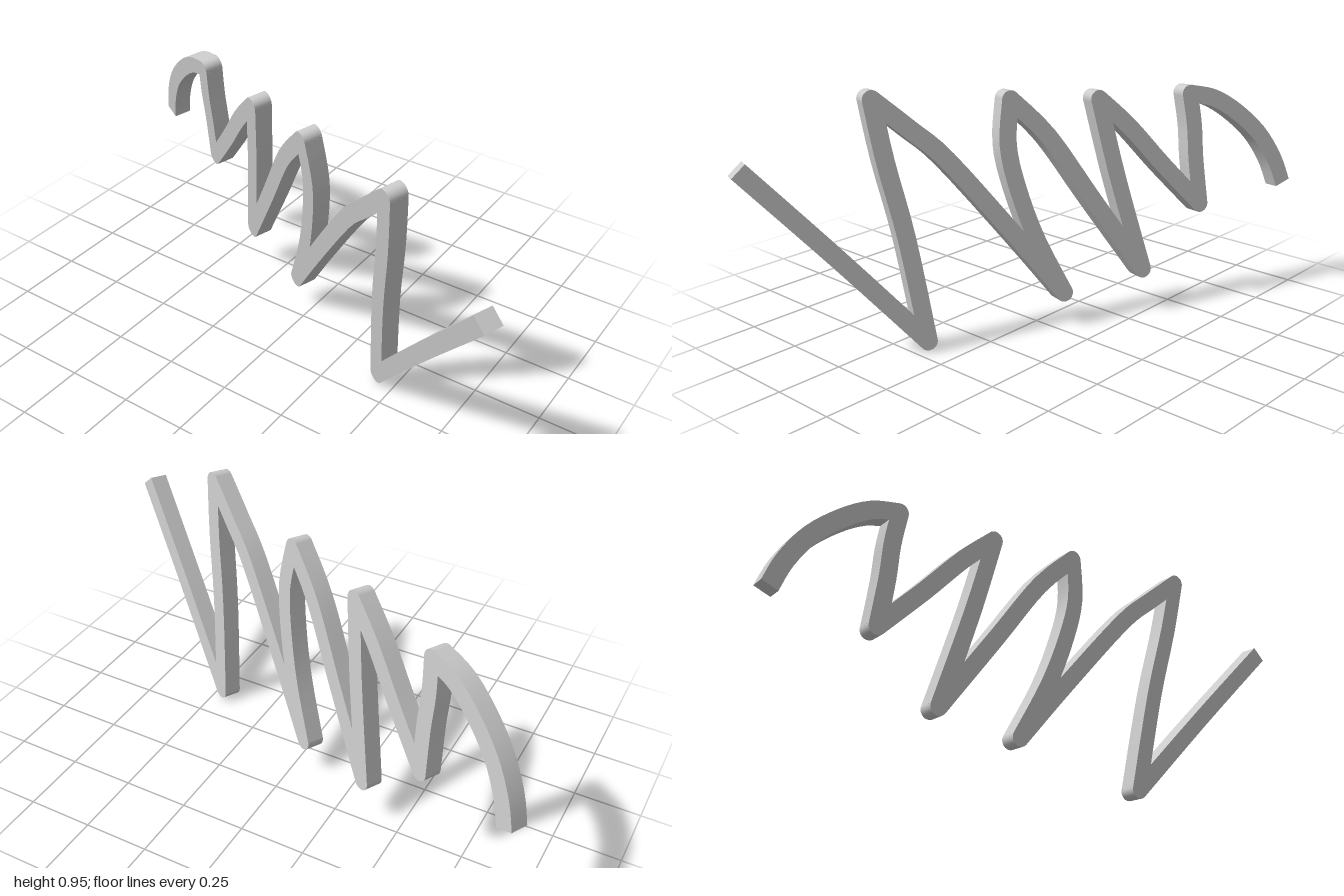
import * as THREE from 'three';
import { toCreasedNormals } from 'three/addons/utils/BufferGeometryUtils.js';

const WIDTH = 0.066, DEPTH = 0.07;

// The zigzag lies in the slanted plane z = A x + B y + C
const A = 0.445, B = 0.13, C = -0.07;
const normal = new THREE.Vector3(-A, -B, 1).normalize();
const across = new THREE.Vector3(1, 0, A).normalize();
const up = new THREE.Vector3().crossVectors(normal, across);

// Centre line of each stroke, as seen from the front (x, y)
const strokes = [
  [[-0.96, 0.43], [-0.93, 0.53], [-0.87, 0.64], [-0.78, 0.735], [-0.69, 0.797], [-0.597, 0.822]],
  [[-0.597, 0.822], [-0.605, 0.7], [-0.602, 0.57], [-0.607, 0.394]],
  [[-0.607, 0.394], [-0.47, 0.565], [-0.35, 0.725], [-0.245, 0.838]],
  [[-0.245, 0.838], [-0.28, 0.6], [-0.312, 0.42], [-0.36, 0.172]],
  [[-0.36, 0.172], [-0.19, 0.47], [-0.05, 0.72], [0.073, 0.868]],
  [[0.073, 0.868], [0.098, 0.71], [0.08, 0.55], [0.03, 0.35], [-0.053, 0.132]],
  [[-0.053, 0.132], [0.1, 0.37], [0.31, 0.68], [0.42, 0.8], [0.532, 0.914]],
  [[0.532, 0.914], [0.513, 0.7], [0.475, 0.42], [0.445, 0.042]],
  [[0.445, 0.042], [0.7, 0.385], [0.962, 0.725]],
];

// Front coordinates to coordinates inside the slanted plane
function toPlane([x, y]) {
  const p = new THREE.Vector3(x, y, A * x + B * y);
  return new THREE.Vector2(p.dot(across), p.dot(up));
}

// A square bar following a centre line
function barGeometry(points) {
  const curve = new THREE.SplineCurve(points);
  const left = [], right = [];
  const steps = (points.length - 1) * 4;
  for (let i = 0; i <= steps; i++) {
    const p = curve.getPoint(i / steps), t = curve.getTangent(i / steps);
    const side = new THREE.Vector2(-t.y, t.x).multiplyScalar(WIDTH / 2);
    left.push(p.clone().add(side));
    right.unshift(p.clone().sub(side));
  }
  const geometry = new THREE.ExtrudeGeometry(new THREE.Shape([...left, ...right]), {
    depth: DEPTH, bevelEnabled: false,
  });
  geometry.translate(0, 0, -DEPTH / 2);
  return toCreasedNormals(geometry, 0.5);
}

export function createModel() {
  const group = new THREE.Group();
  group.name = 'zigzagBar';
  const material = new THREE.MeshStandardMaterial({ color: 0xcccccc });

  const band = new THREE.Group();
  band.name = 'slantedBand';
  band.applyMatrix4(new THREE.Matrix4().makeBasis(across, up, normal).setPosition(0, 0, C));
  group.add(band);

  const bendGeometry = new THREE.CylinderGeometry(WIDTH / 2, WIDTH / 2, DEPTH, 32).rotateX(Math.PI / 2);

  strokes.forEach((line, i) => {
    const points = line.map(toPlane);
    const bar = new THREE.Mesh(barGeometry(points), material);
    bar.name = `stroke${i + 1}`;
    band.add(bar);

    // Rounded bend joining this stroke to the next
    if (i < strokes.length - 1) {
      const bend = new THREE.Mesh(bendGeometry, material);
      const end = points[points.length - 1];
      bend.position.set(end.x, end.y, 0);
      bend.name = `bend${i + 1}`;
      band.add(bend);
    }
  });
  return group;
}
